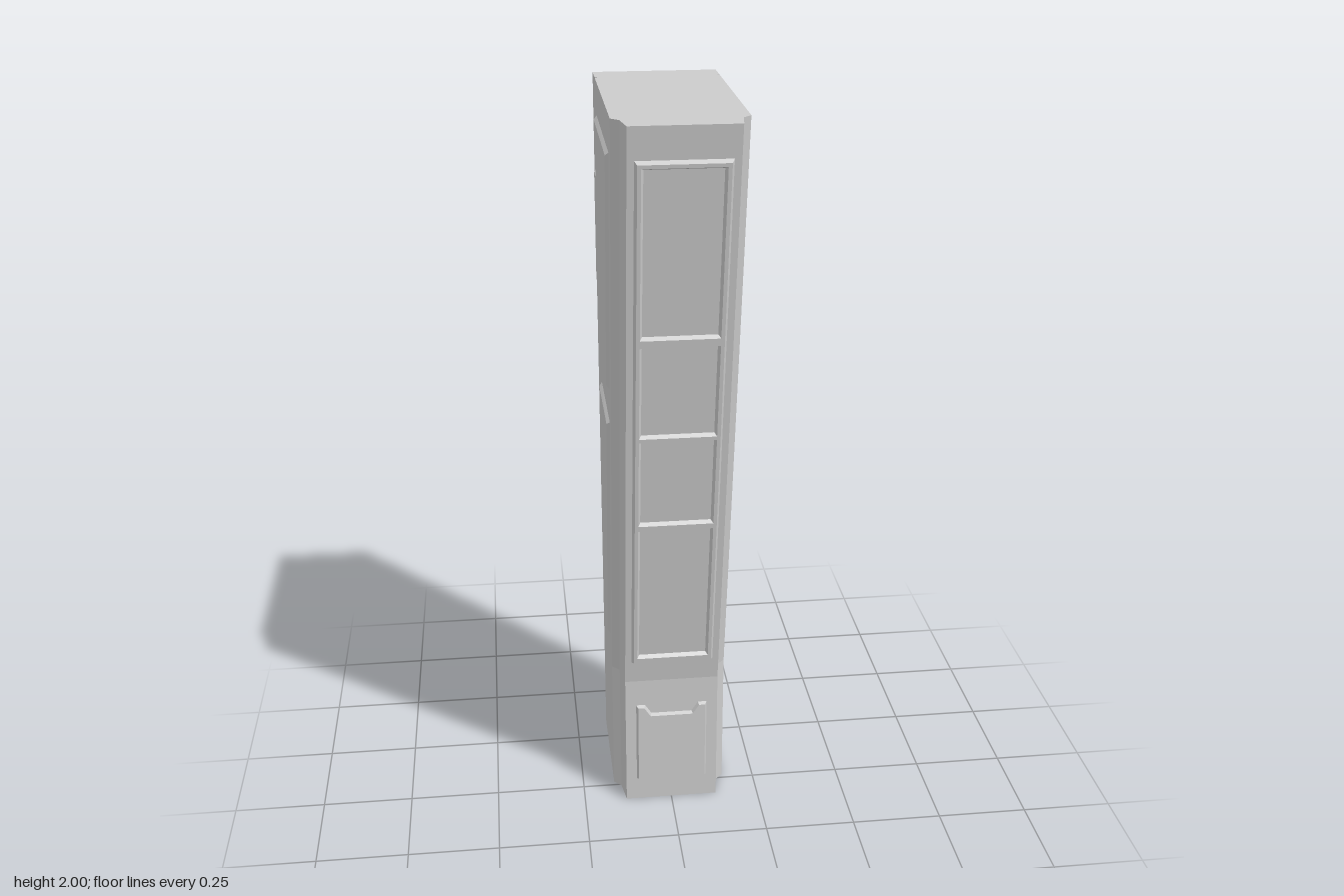
import * as THREE from 'three';

const material = new THREE.MeshStandardMaterial({ color: 0xcccccc, flatShading: true });
const SLOPE = 0.26 / 1.6; // forward lean of the upper front
const KNEE = 0.4;         // height where the lean starts

function addMesh(parent, geometry, name) {
  const mesh = new THREE.Mesh(geometry, material);
  mesh.name = name;
  parent.add(mesh);
  return mesh;
}

const toShape = (pts) => new THREE.Shape(pts.map(([x, y]) => new THREE.Vector2(x, y)));
const rect = (w, y0, y1) => [[-w, y0], [w, y0], [w, y1], [-w, y1]];

// Plate with a sloped rim that rises to the given height above its base plane
function plate(pts, height, rim, holes = []) {
  const shape = toShape(pts);
  holes.forEach((h) => shape.holes.push(toShape(h)));
  const geometry = new THREE.ExtrudeGeometry(shape, {
    depth: 0.004, bevelEnabled: true, bevelSegments: 1,
    bevelThickness: height, bevelSize: rim, bevelOffset: -rim,
  });
  return geometry.translate(0, 0, -0.004);
}

// Horizontal outline of the body whose front lies at z = f
function outline(f) {
  const half = [
    [0.16, -0.33], [0.16, -0.263], [0.154, -0.255], [0.16, -0.247],
    [0.16, f - 0.085], [0.14, f - 0.065], [0.13, f],
  ];
  return [...half, ...half.map(([x, z]) => [-x, z]).reverse()];
}

// Body lofted through three outlines and capped at both ends
function bodyGeometry() {
  const levels = [[0, 0.07], [KNEE, 0.07], [2, 0.33]];
  const loops = levels.map(([y, f]) => outline(f).map(([x, z]) => new THREE.Vector3(x, y, z)));
  const points = [];
  for (let k = 0; k < loops.length - 1; k++) {
    const lo = loops[k], hi = loops[k + 1];
    for (let i = 0; i < lo.length; i++) {
      const j = (i + 1) % lo.length;
      points.push(lo[i], hi[i], hi[j], lo[i], hi[j], lo[j]);
    }
  }
  for (const [loop, up] of [[loops[0], false], [loops[2], true]]) {
    const flat = loop.map((p) => new THREE.Vector2(p.x, p.z));
    for (const [a, b, c] of THREE.ShapeUtils.triangulateShape(flat, [])) {
      const facesUp = THREE.ShapeUtils.area([flat[a], flat[b], flat[c]]) < 0;
      points.push(loop[a], ...(facesUp === up ? [loop[b], loop[c]] : [loop[c], loop[b]]));
    }
  }
  const geometry = new THREE.BufferGeometry().setFromPoints(points);
  geometry.computeVertexNormals();
  return geometry;
}

export function createModel() {
  const model = new THREE.Group();
  model.name = 'pillar';
  addMesh(model, bodyGeometry(), 'body');

  // Leaning front frame with four window openings
  const s = Math.hypot(1, SLOPE);
  const along = (y) => (y - KNEE) * s;
  const windows = [[0.49, 0.92], [0.935, 1.19], [1.2, 1.455], [1.475, 1.905]];
  const frame = addMesh(model, plate(
    rect(0.113, along(0.47), along(1.92)), 0.011, 0.006,
    windows.map(([a, b]) => rect(0.092, along(a + 0.006), along(b - 0.006))),
  ), 'frontFrame');
  frame.position.set(0, KNEE, 0.07);
  frame.rotation.x = Math.atan(SLOPE);

  // Notched plate on the upright lower front
  const lower = addMesh(model, plate([
    [-0.1, 0.07], [0.1, 0.07], [0.1, 0.32], [0.075, 0.32],
    [0.057, 0.292], [-0.057, 0.292], [-0.075, 0.32], [-0.1, 0.32],
  ], 0.01, 0.005), 'lowerFrontPlate');
  lower.position.z = 0.07;

  // Side plates, given as [z, y] outlines and repeated on both flanks
  const sidePlates = {
    UpperPlate: [
      [0.186, 1.91], [0.084, 1.285], [-0.206, 1.285], [-0.206, 1.4],
      [-0.155, 1.455], [-0.155, 1.785], [-0.206, 1.82], [-0.206, 1.915],
    ],
    LowerPlate: [[0.072, 1.19], [-0.045, 0.49], [-0.206, 0.49], [-0.206, 1.192]],
    Grip: [[-0.174, 1.775], [-0.174, 1.473], [-0.232, 1.473], [-0.232, 1.775]],
  };
  for (const side of [1, -1]) {
    for (const [name, pts] of Object.entries(sidePlates)) {
      const local = pts.map(([z, y]) => [-side * z, y]);
      const mesh = addMesh(model, plate(local, 0.008, 0.009), (side > 0 ? 'left' : 'right') + name);
      mesh.rotation.y = side * Math.PI / 2;
      mesh.position.x = side * 0.16;
    }
  }
  return model;
}
